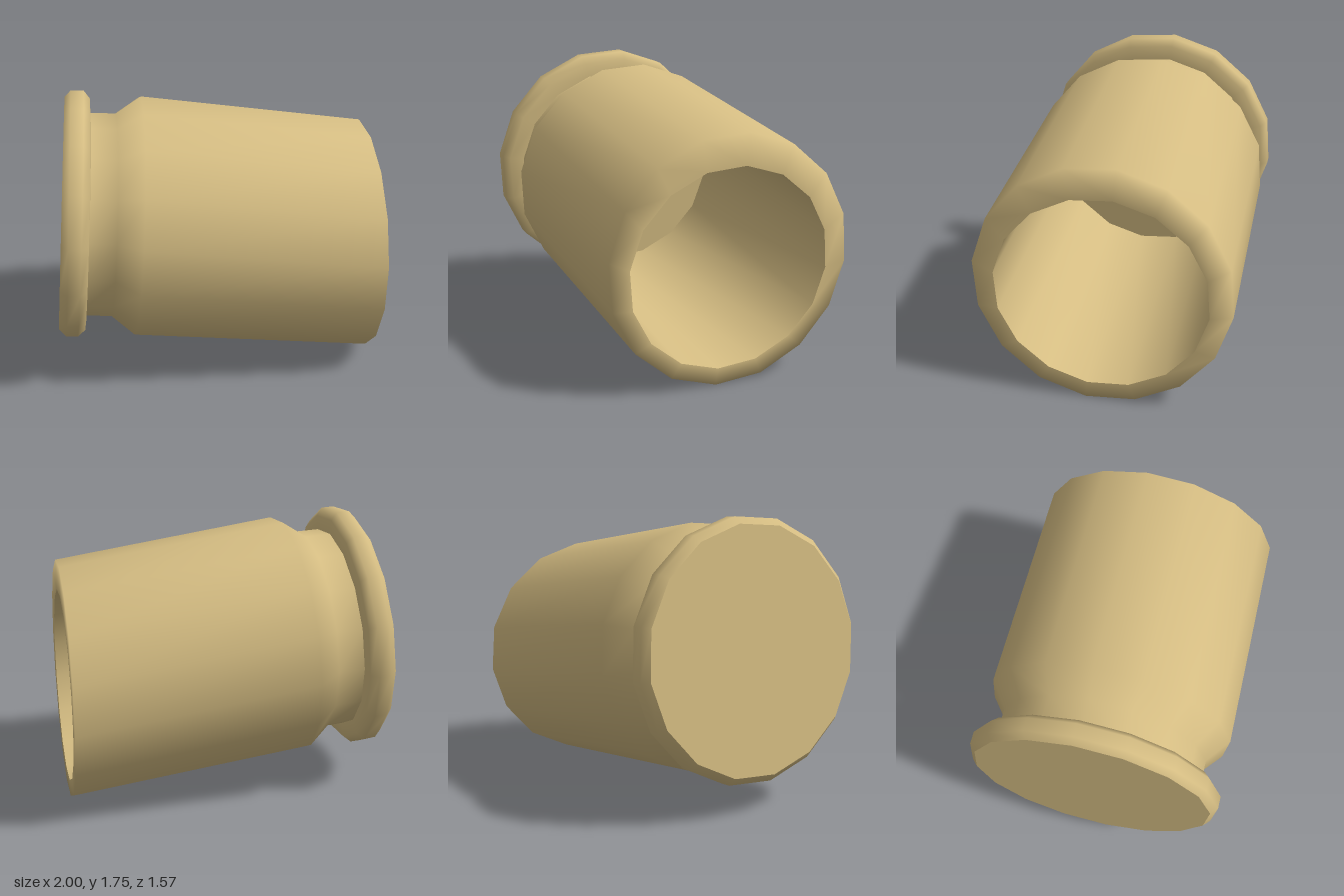
import * as THREE from 'three';

const SIDES = 16;
const TURN = -7.4 * Math.PI / 180; // roll of the polygon about the long axis
const FIT = Math.cos(TURN);

// A ring is [topX, topY, bottomX, bottomY, halfDepth, centreZ]; consecutive rings are skinned together.
function loft(rings) {
  const positions = [], index = [];
  for (const [tx, ty, bx, by, depth, cz = 0] of rings) {
    for (let j = 0; j < SIDES; j++) {
      const a = TURN + j / SIDES * Math.PI * 2;
      const c = Math.cos(a) / FIT, s = Math.sin(a) / FIT;
      positions.push(
        (tx + bx) / 2 + (tx - bx) / 2 * c,
        (ty + by) / 2 + (ty - by) / 2 * c,
        cz + depth * s
      );
    }
  }
  for (let i = 0; i < rings.length - 1; i++) {
    for (let j = 0; j < SIDES; j++) {
      const k = (j + 1) % SIDES;
      const a = i * SIDES + j, b = i * SIDES + k;
      index.push(a, b, a + SIDES, b, b + SIDES, a + SIDES);
    }
  }
  const geometry = new THREE.BufferGeometry();
  geometry.setAttribute('position', new THREE.Float32BufferAttribute(positions, 3));
  geometry.setIndex(index);
  geometry.computeVertexNormals();
  return geometry;
}

// A ring shrunk to its own centre, used to close a disc.
function centre([tx, ty, bx, by, , cz = 0]) {
  const x = (tx + bx) / 2, y = (ty + by) / 2;
  return [x, y, x, y, 0, cz];
}

export function createModel() {
  const group = new THREE.Group();
  const brass = new THREE.MeshStandardMaterial({ color: 0xd4bc82 });
  brass.name = 'brass';

  const add = (name, rings) => {
    const mesh = new THREE.Mesh(loft(rings), brass);
    mesh.name = name;
    group.add(mesh);
  };

  const backEdge = [-0.885, 1.715, -1, 0.245, 0.74];
  const neckBack = [-0.73, 1.61, -0.83, 0.32, 0.647];
  const mouthInner = [1, 1.30, 1, 0.10, 0.64, -0.01];
  const floorEdge = [-0.5, 1.57, -0.6, 0.31, 0.64];

  // Closed back end
  add('baseDisc', [centre(backEdge), backEdge]);

  // Rounded flange around the base
  add('flange', [
    backEdge,
    [-0.845, 1.755, -0.955, 0.195, 0.78],
    [-0.765, 1.75, -0.885, 0.19, 0.78],
    [-0.73, 1.70, -0.835, 0.23, 0.74],
    neckBack
  ]);

  // Groove, shoulder, long wall and flat lip at the mouth
  add('body', [
    neckBack,
    [-0.57, 1.60, -0.665, 0.305, 0.647],
    [-0.41, 1.70, -0.525, 0.18, 0.767],
    [1, 1.49, 1, 0, 0.77, -0.015],
    mouthInner
  ]);

  // Hollow inside
  add('innerWall', [mouthInner, floorEdge]);
  add('innerFloor', [floorEdge, centre(floorEdge)]);

  return group;
}
